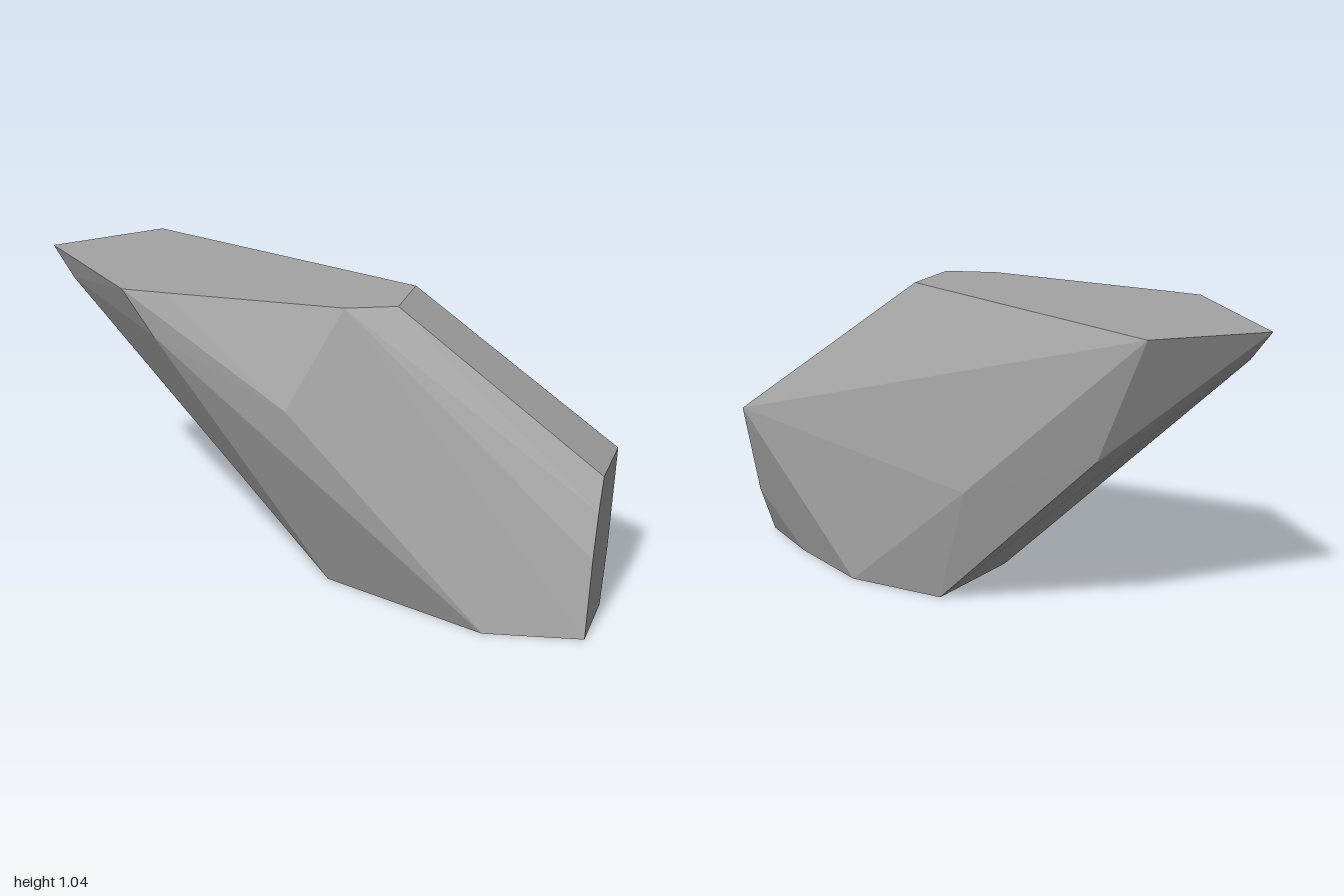
import * as THREE from 'three';
import { ConvexGeometry } from 'three/addons/geometries/ConvexGeometry.js';

export function createModel() {
  const group = new THREE.Group();
  group.name = 'rock';
  const stone = new THREE.MeshStandardMaterial({ color: 0xa3a3a3 });
  stone.name = 'grey stone';

  const TOP = 1.045;
  // flat top outline (x, z)
  const top = [[-1, -0.04], [-0.71, -0.326], [0.31, -0.06], [0.31, 0.14],
    [0.15, 0.21], [-0.45, 0.267], [-0.6, 0.28]];
  // flat base outline (x, z)
  const base = [[1, 0.255], [1, 0.01], [0.77, -0.125], [0.455, -0.262],
    [0.1, -0.25], [0.07, 0.135], [0.67, 0.326]];
  // cut end face at x = 1 (y, z)
  const end = [[0.515, 0.08], [0.515, -0.155], [0.18, -0.07], [0.265, 0.192], [0.41, 0.137]];
  // chipped corners around the sides (x, y, z)
  const sides = [[-0.045, 0.43, -0.326], [-0.51, 0.6, -0.267], [-0.92, 0.94, -0.025],
    [-0.02, 0.7, 0.315], [0.32, 0.46, 0.292], [-0.49, 0.89, 0.282]];

  const points = [
    ...top.map(([x, z]) => new THREE.Vector3(x, TOP, z)),
    ...base.map(([x, z]) => new THREE.Vector3(x, 0, z)),
    ...end.map(([y, z]) => new THREE.Vector3(1, y, z)),
    ...sides.map((p) => new THREE.Vector3(...p)),
  ];

  // faceted boulder
  const boulder = new THREE.Mesh(new ConvexGeometry(points), stone);
  boulder.name = 'boulder';
  group.add(boulder);
  return group;
}
